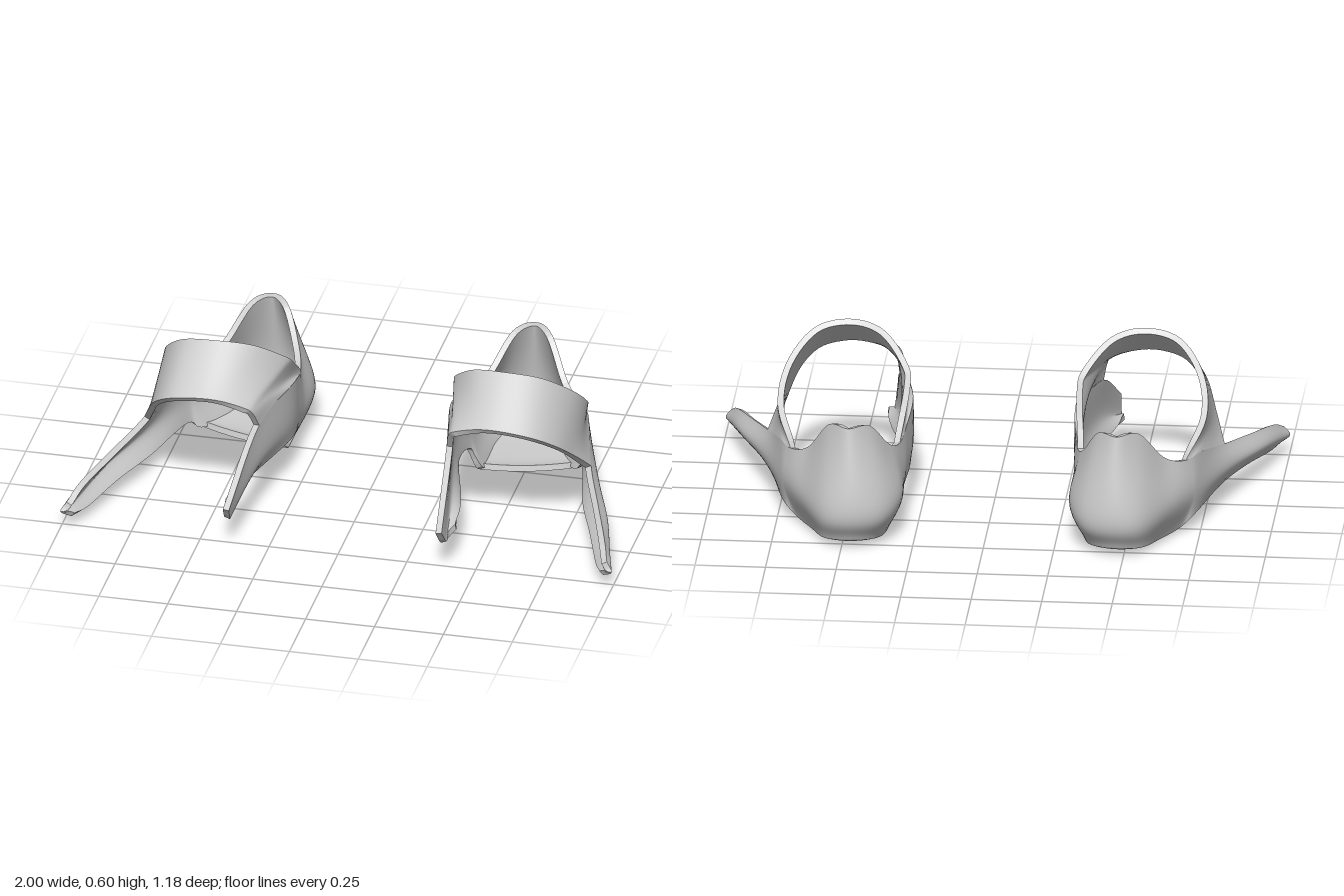
import * as THREE from 'three';

const THICK = 0.022;
const STEPS = 6; // smoothing steps between wall columns
const V = (p) => new THREE.Vector3(...p);

// smooth curve through points, n steps per span
const curve = (pts, n) =>
  new THREE.CatmullRomCurve3(pts, false, 'catmullrom', 0.5).getPoints(n * (pts.length - 1));

// smooth a grid of control points in both directions
function smoothGrid(rows, n, m) {
  const across = rows.map((r) => curve(r, m));
  const lines = across[0].map((_, j) => curve(across.map((r) => r[j]), n));
  return lines[0].map((_, i) => lines.map((l) => l[i]));
}

// thick shell whose outer face is the grid; the rim keeps its own hard edge
function shell(grid) {
  const R = grid.length, C = grid[0].length;
  const skin = [];
  const at = (i, j) => i * C + j;
  for (let i = 0; i < R - 1; i++) {
    for (let j = 0; j < C - 1; j++) {
      const a = at(i, j), b = at(i, j + 1), c = at(i + 1, j + 1), d = at(i + 1, j);
      skin.push(a, b, c, a, c, d);
    }
  }
  const outer = grid.flat();
  const face = new THREE.BufferGeometry().setFromPoints(outer);
  face.setIndex(skin);
  face.computeVertexNormals();
  const nor = face.attributes.normal;
  const inner = outer.map((p, k) =>
    p.clone().addScaledVector(new THREE.Vector3().fromBufferAttribute(nor, k), -THICK));

  const pts = [...outer, ...inner];
  const idx = [...skin];
  for (let k = 0; k < skin.length; k += 3) {
    idx.push(skin[k] + R * C, skin[k + 2] + R * C, skin[k + 1] + R * C);
  }
  // rim runs once round the border
  const border = [];
  for (let j = 0; j < C - 1; j++) border.push(at(0, j));
  for (let i = 0; i < R - 1; i++) border.push(at(i, C - 1));
  for (let j = C - 1; j > 0; j--) border.push(at(R - 1, j));
  for (let i = R - 1; i > 0; i--) border.push(at(i, 0));
  border.forEach((a, k) => {
    const b = border[(k + 1) % border.length], s = pts.length;
    pts.push(outer[a], outer[b], inner[b], inner[a]);
    idx.push(s, s + 2, s + 1, s, s + 3, s + 2);
  });
  const geo = new THREE.BufferGeometry().setFromPoints(pts);
  geo.setIndex(idx);
  geo.computeVertexNormals();
  return geo;
}

function mirrored(geo) {
  const g = geo.clone().scale(-1, 1, 1);
  g.setIndex(Array.from(geo.index.array).reverse());
  g.computeVertexNormals();
  return g;
}

// wall columns, bottom / middle / top, from inner prong round the heel to outer prong
const WALL = [
  [[0.42, 0.135, 0.46], [0.385, 0.115, 0.53], [0.375, 0.18, 0.59]],
  [[0.37, 0.15, 0.26], [0.335, 0.22, 0.265], [0.34, 0.36, 0.27]],
  [[0.30, 0.155, 0.0], [0.288, 0.24, 0.0], [0.29, 0.38, 0.0]],
  [[0.305, 0.12, -0.17], [0.295, 0.20, -0.17], [0.297, 0.34, -0.16]],
  [[0.345, 0.025, -0.20], [0.30, 0.15, -0.26], [0.315, 0.305, -0.27]],
  [[0.35, 0.02, -0.39], [0.298, 0.16, -0.42], [0.345, 0.34, -0.37]],
  [[0.385, 0.03, -0.50], [0.355, 0.16, -0.54], [0.405, 0.445, -0.47]],
  [[0.47, 0.04, -0.545], [0.46, 0.16, -0.59], [0.475, 0.455, -0.535]],
  [[0.56, 0.03, -0.51], [0.565, 0.16, -0.555], [0.55, 0.445, -0.47]],
  [[0.62, 0.02, -0.39], [0.66, 0.16, -0.41], [0.63, 0.32, -0.37]],
  [[0.68, 0.025, -0.29], [0.72, 0.15, -0.29], [0.70, 0.28, -0.29]],
  [[0.735, 0.065, -0.23], [0.75, 0.16, -0.22], [0.745, 0.28, -0.20]],
  [[0.80, 0.065, 0.05], [0.845, 0.14, 0.05], [0.81, 0.22, 0.04]],
  [[0.87, 0.06, 0.25], [0.92, 0.12, 0.25], [0.885, 0.18, 0.25]],
  [[0.935, 0.042, 0.43], [0.97, 0.09, 0.43], [0.95, 0.145, 0.43]],
  [[0.965, 0.045, 0.51], [1.0, 0.07, 0.53], [0.98, 0.105, 0.52]],
].map((c) => c.map(V));
const HEEL = 7; // column at the back of the heel

// instep band, rear edge / front edge, from inner side to outer side
const BAND = [
  [[0.295, 0.44, -0.075], [0.355, 0.425, 0.307]],
  [[0.31, 0.50, 0.0], [0.385, 0.45, 0.32]],
  [[0.40, 0.585, 0.10], [0.47, 0.473, 0.33]],
  [[0.52, 0.61, 0.14], [0.56, 0.475, 0.333]],
  [[0.65, 0.585, 0.11], [0.66, 0.45, 0.31]],
  [[0.74, 0.49, 0.005], [0.73, 0.39, 0.24]],
  [[0.76, 0.38, -0.13], [0.775, 0.30, 0.13]],
].map((c) => c.map(V));

// the sole spans the lower rim of the heel cup, sagging slightly
function soleGrid(wall) {
  const mid = HEEL * STEPS, rows = [];
  for (let k = 0; k <= 3 * STEPS; k++) {
    const a = wall[mid - k][0], b = wall[mid + k][0], row = [];
    for (let j = 0; j <= 10; j++) {
      const t = j / 10, p = a.clone().lerp(b, t);
      p.y = Math.max(0.002, p.y - 0.05 * t * (1 - t) * Math.min(1, k / 8));
      row.push(p);
    }
    rows.push(row);
  }
  return rows;
}

// the band grows from the wall tops on both sides, rear to front
function bandGrid(wall) {
  const sixths = [0, 1, 2, 3, 4, 5, 6].map((k) => k / 6);
  const base = (from, to) =>
    sixths.map((t) => wall[Math.round((from + (to - from) * t) * STEPS)].at(-1));
  const arcs = BAND.map(([rear, front]) => sixths.map((t) => rear.clone().lerp(front, t)));
  return smoothGrid([base(4, 1), ...arcs, base(10, 12)], 6, 3);
}

export function createModel() {
  const grey = new THREE.MeshStandardMaterial({ color: 0xcccccc });
  grey.name = 'light grey';

  const wall = smoothGrid(WALL, STEPS, 12);
  const parts = {
    heelAndSideWall: shell(wall),
    heelSole: shell(soleGrid(wall)),
    instepBand: shell(bandGrid(wall)),
  };

  const model = new THREE.Group();
  model.name = 'footSupports';
  for (const side of ['left', 'right']) {
    const foot = new THREE.Group();
    foot.name = side + 'FootSupport';
    for (const [name, geo] of Object.entries(parts)) {
      const mesh = new THREE.Mesh(side === 'left' ? geo : mirrored(geo), grey);
      mesh.name = name;
      foot.add(mesh);
    }
    model.add(foot);
  }
  return model;
}
